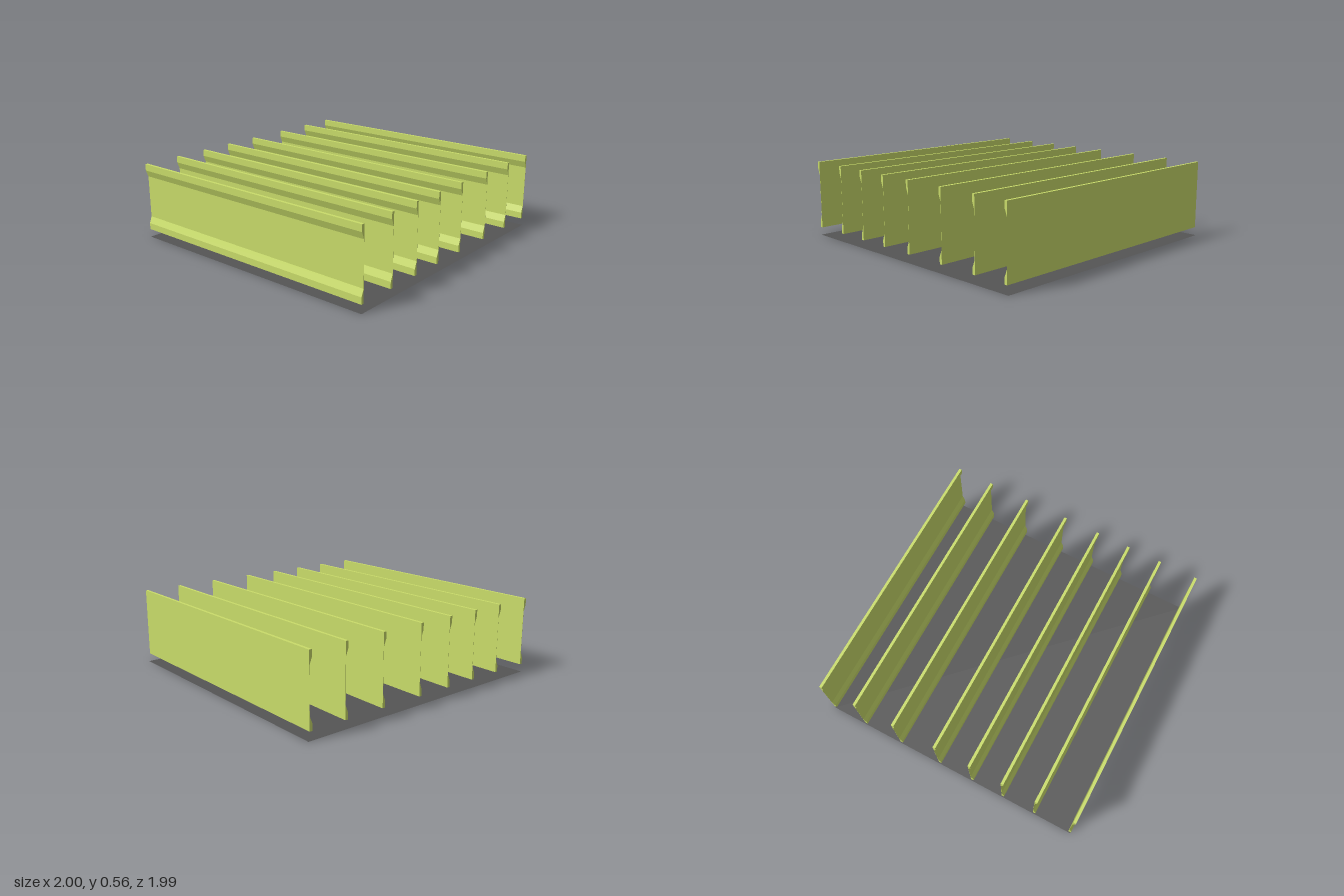
import * as THREE from 'three';

const LENGTH = 1.99, WIDTH = 0.02, WEB = 0.0015;
const BOTTOM = 0.06, TOP = 0.557;

// Channel section: flat thin web on +x, thick tapered lips at top and bottom
function beamSection() {
  const lip = -WIDTH, web = -WEB;
  return new THREE.Shape([
    [0, BOTTOM], [0, TOP], [lip, TOP], [lip, TOP - 0.047], [web, TOP - 0.095],
    [web, BOTTOM + 0.095], [lip, BOTTOM + 0.047], [lip, BOTTOM],
  ].map(([x, y]) => new THREE.Vector2(x, y)));
}

export function createModel() {
  const model = new THREE.Group();
  model.name = 'beamsOverFloor';

  // Row of parallel beams, placed by their flat face
  const green = new THREE.MeshStandardMaterial({ color: 0xc9dc6a });
  const section = new THREE.ExtrudeGeometry(beamSection(), { depth: LENGTH, bevelEnabled: false });
  section.translate(0, 0, -LENGTH / 2);
  [-0.98, -0.695, -0.44, -0.188, 0.082, 0.41, 0.717, 0.99].forEach((x, i) => {
    const beam = new THREE.Mesh(section, green);
    beam.name = `beam${i + 1}`;
    beam.position.x = x;
    model.add(beam);
  });

  // Thin dark floor sheet below the beams
  const dark = new THREE.MeshStandardMaterial({ color: 0x555555, side: THREE.DoubleSide });
  const floor = new THREE.Mesh(new THREE.PlaneGeometry(2, LENGTH).rotateX(-Math.PI / 2), dark);
  floor.name = 'floorSheet';
  model.add(floor);

  return model;
}
